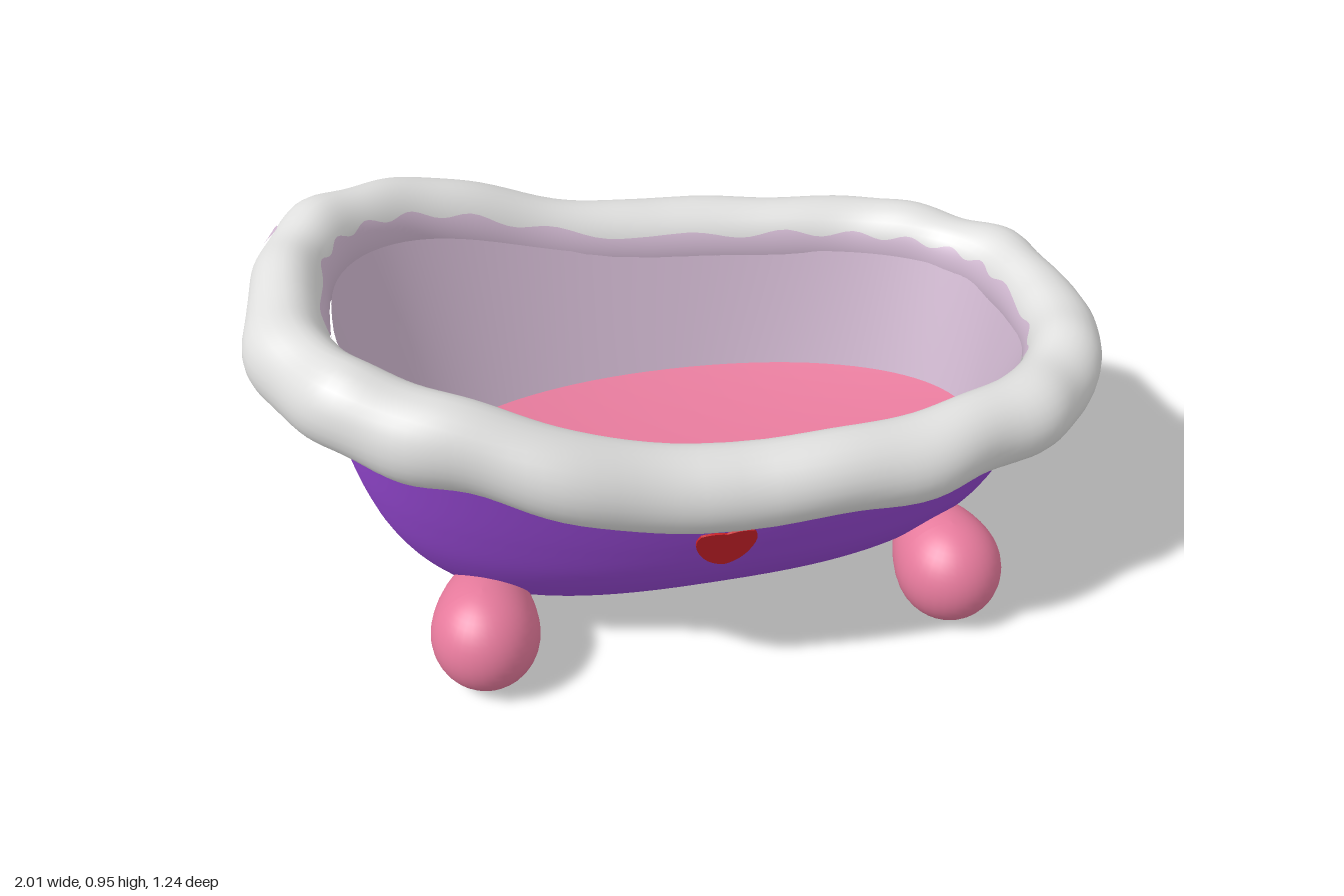
import * as THREE from 'three';
import { ParametricGeometry } from 'three/addons/geometries/ParametricGeometry.js';

const TAU = Math.PI * 2;
const N = 2.65; // squareness of the rounded plan outline

function paint(name, color) {
  const m = new THREE.MeshStandardMaterial({ color });
  m.name = name;
  return m;
}

const spow = (c, p) => Math.sign(c) * Math.pow(Math.abs(c), p);

// Point on the rounded-oblong plan outline, slightly wider at the tall end
function outline(t, a, b, n = N) {
  const x = a * spow(Math.cos(t), 2 / n);
  return [x, b * spow(Math.sin(t), 2 / n) * (1 - 0.05 * x)];
}

// Height of the rim's centre line: high backrest at -x, low at +x
const backrest = (x) => 1 / (1 + Math.exp(6 * (x + 0.4)));
const rimHeight = (x) => 0.61 + 0.245 * backrest(x);

// Lumpy foam roll: phi runs round the section, t along the outline
function rimPoint(phi, t, lift, out) {
  const A = 0.9, B = 0.515;
  const [x, z] = outline(t, A, B);
  const nx = spow(Math.cos(t), 2 - 2 / N) / A;
  const nz = spow(Math.sin(t), 2 - 2 / N) / B;
  const len = Math.hypot(nx, nz);
  const outer = 0.5 + 0.5 * Math.cos(phi);
  const lump = 0.003 * Math.sin(5 * t + phi)
    + (0.001 + 0.006 * outer) * Math.sin(11 * t - phi)
    + (0.001 + 0.004 * outer) * Math.sin(17 * t + phi + 1);
  const r = 0.099 + lump + lift;
  const c = r * Math.cos(phi) * (phi > Math.PI / 2 && phi < Math.PI * 1.5 ? 0.85 : 1);
  const rise = r * Math.sin(phi) * (1 + 0.1 * backrest(x));
  return out.set(x + 0.003 + (c * nx) / len, rimHeight(x) + rise, z + (c * nz) / len);
}

export function createModel() {
  const model = new THREE.Group();
  model.name = 'bathtub';
  const purple = paint('purple', 0x9447d0);
  const pink = paint('pink', 0xe67a9c);
  const white = paint('foamWhite', 0xe0e0df);
  const lavender = paint('lavender', 0xd0b8d0);
  const red = paint('red', 0xc82028);

  function add(name, geometry, material, parent = model) {
    const mesh = new THREE.Mesh(geometry, material);
    mesh.name = name;
    parent.add(mesh);
    return mesh;
  }

  // Outer shell: profile points are (half length, height fraction, half width)
  const shell = new THREE.CatmullRomCurve3([
    [0.0005, 0, 0.0005], [0.3, 0, 0.13], [0.53, 0, 0.235], [0.62, 0.04, 0.285], [0.7, 0.15, 0.338],
    [0.765, 0.3, 0.385], [0.81, 0.48, 0.417], [0.85, 0.75, 0.45], [0.88, 1, 0.475],
  ].map((p) => new THREE.Vector3(...p)));
  add('tubShell', new ParametricGeometry((u, v, out) => {
    const p = shell.getPoint(v);
    const [x, z] = outline(-u * TAU, p.x, p.z);
    out.set(x + 0.01, 0.115 + p.y * (rimHeight(x) - 0.115), z);
  }, 96, 40), purple);

  // Inner wall, oval at the floor and squarer at the rim
  add('innerWall', new ParametricGeometry((u, v, out) => {
    const [x, z] = outline(u * TAU, 0.715 + 0.098 * v, 0.35 + 0.078 * v, 2.1 + (N - 2.1) * v);
    out.set(x + 0.035 - 0.027 * v, 0.32 + v * (rimHeight(x) - 0.32), z);
  }, 96, 12), lavender);

  // Gently dished floor and drain
  add('tubFloor', new ParametricGeometry((u, v, out) => {
    const r = Math.max(v, 0.01);
    const [x, z] = outline(u * TAU, 0.715 * r, 0.35 * r, 2.1);
    out.set(x + 0.035, 0.25 + 0.07 * r * r, z);
  }, 96, 12), pink);
  const drain = add('drain', new THREE.CylinderGeometry(0.055, 0.055, 0.008, 20), lavender);
  drain.position.set(0.045, 0.253, 0);

  // Foam rim
  add('foamRim', new ParametricGeometry((u, v, out) => rimPoint(u * TAU, v * TAU, 0, out), 28, 160), white);

  // Scalloped lavender lining on the rim's inner face
  add('rimLining', new ParametricGeometry((u, v, out) => {
    const t = v * TAU;
    const top = Math.PI - 0.5 + 0.09 * Math.sin(26 * t);
    rimPoint(top + u * (Math.PI + 0.6 - top), t, 0.003, out);
  }, 10, 220), lavender);

  // Lavender spots on the back of the rim: [x, section angle, radius]
  const spots = [
    [0.36, 0.6, 0.022], [0.19, 0.4, 0.022], [-0.09, 0.1, 0.026], [-0.28, 0.6, 0.032],
    [-0.4, 0.9, 0.022], [-0.5, 0.2, 0.025], [-0.86, 0.6, 0.034],
  ];
  for (const [x, phi, r] of spots) {
    const t = -Math.acos(spow(x / 0.9, N / 2));
    add('rimSpot', new ParametricGeometry((u, v, out) => {
      const k = r * Math.max(v, 0.02);
      const a = -u * TAU;
      rimPoint(phi + 10 * k * Math.cos(a), t + 1.4 * k * Math.sin(a), 0.004, out);
    }, 16, 3), lavender);
  }

  // Ball feet, drawn out towards the tub and flattened on the ground
  for (const sx of [-1, 1]) {
    for (const sz of [-1, 1]) {
      const geo = new THREE.SphereGeometry(0.134, 32, 24);
      const dir = new THREE.Vector3(-sx * 0.12, 0.2, -sz * 0.75).normalize();
      const pos = geo.attributes.position;
      const p = new THREE.Vector3();
      for (let i = 0; i < pos.count; i++) {
        p.fromBufferAttribute(pos, i);
        const d = Math.max(0, p.dot(dir) / 0.134);
        p.addScaledVector(dir, 0.06 * d * d);
        pos.setXYZ(i, p.x * 0.96, Math.max(p.y, -0.13), p.z * 1.02);
      }
      geo.computeVertexNormals();
      const foot = add('foot', geo, pink);
      foot.position.set(sx > 0 ? 0.592 : -0.548, 0.13, sz * 0.341);
    }
  }

  // Heart plates on the front and back
  const heart = new THREE.Shape();
  heart.moveTo(0, 0.055);
  heart.quadraticCurveTo(0.03, 0.065, 0.062, 0.058);
  heart.quadraticCurveTo(0.085, 0.03, 0.055, -0.025);
  heart.quadraticCurveTo(0.035, -0.06, 0, -0.068);
  heart.quadraticCurveTo(-0.035, -0.06, -0.055, -0.025);
  heart.quadraticCurveTo(-0.085, 0.03, -0.062, 0.058);
  heart.quadraticCurveTo(-0.03, 0.065, 0, 0.055);
  const heartGeo = new THREE.ExtrudeGeometry(heart, { depth: 0.009, bevelEnabled: false, curveSegments: 6 });
  for (const side of [0, 1]) {
    const mount = new THREE.Group();
    mount.name = side ? 'backHeart' : 'frontHeart';
    mount.rotation.y = side * Math.PI;
    const plate = add('heart', heartGeo, red, mount);
    plate.position.set(side ? -0.01 : 0.01, 0.366, 0.413);
    plate.rotation.x = 0.27;
    model.add(mount);
  }

  return model;
}
